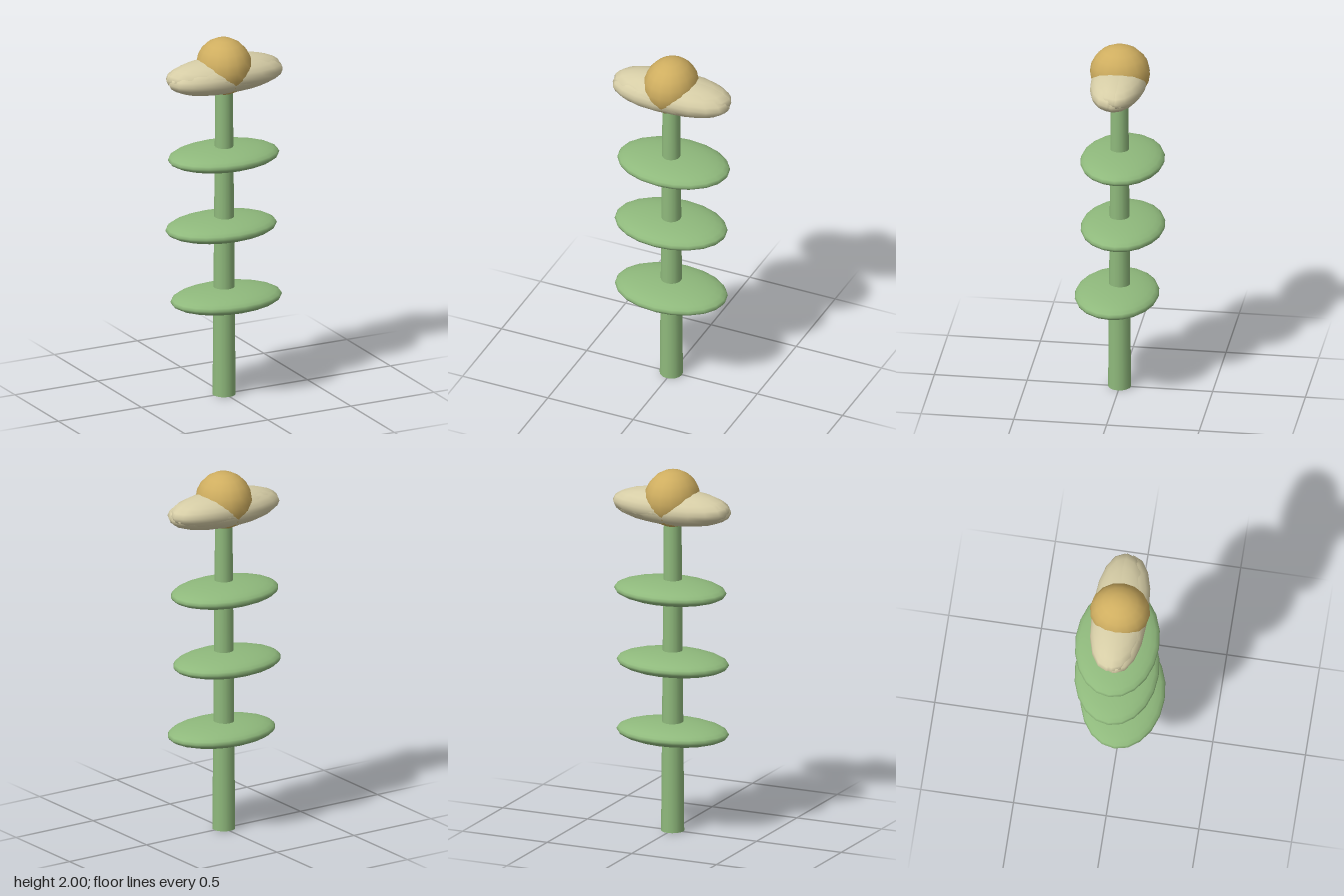
import * as THREE from 'three';

const green = new THREE.MeshStandardMaterial({ color: 0x8fb97c });
const cream = new THREE.MeshStandardMaterial({ color: 0xd6cda6 });
const gold = new THREE.MeshStandardMaterial({ color: 0xcfae60 });

// Smooth ellipsoid given by its centre and half-sizes
function ellipsoid(name, material, centre, radii, segments, rings) {
  const geometry = new THREE.SphereGeometry(1, segments, rings).scale(...radii);
  const mesh = new THREE.Mesh(geometry, material);
  mesh.name = name;
  mesh.position.set(...centre);
  return mesh;
}

export function createModel() {
  const model = new THREE.Group();
  model.name = 'flower';

  // Slightly tapered stem, running up into the flower head
  const stem = new THREE.Mesh(new THREE.CylinderGeometry(0.047, 0.062, 1.76, 16), green);
  stem.name = 'stem';
  stem.position.set(-0.003, 0.88, 0.002);
  model.add(stem);

  // Three flat oval leaves threaded on the stem
  const leaves = new THREE.Group();
  leaves.name = 'leaves';
  for (const [x, y, z] of [[0.003, 0.545, 0.015], [-0.012, 0.94, -0.015], [0.003, 1.335, -0.015]]) {
    leaves.add(ellipsoid('leaf', green, [x, y, z], [0.315, 0.061, 0.225], 20, 14));
  }
  model.add(leaves);

  // Overlapping long petals, fanned very slightly around the centre
  const petals = new THREE.Group();
  petals.name = 'petals';
  for (const [yaw, roll, tilt] of [[0.07, 0.06, 0.02], [-0.07, -0.06, -0.02], [0, 0.03, -0.03], [0.03, -0.04, 0.03]]) {
    const petal = ellipsoid('petal', cream, [0, 1.799, 0], [0.338, 0.096, 0.147], 18, 12);
    petal.rotation.set(roll, yaw, tilt);
    petals.add(petal);
  }
  model.add(petals);

  // Round flower centre
  model.add(ellipsoid('flowerCentre', gold, [-0.003, 1.845, 0], [0.148, 0.155, 0.162], 16, 10));

  return model;
}
